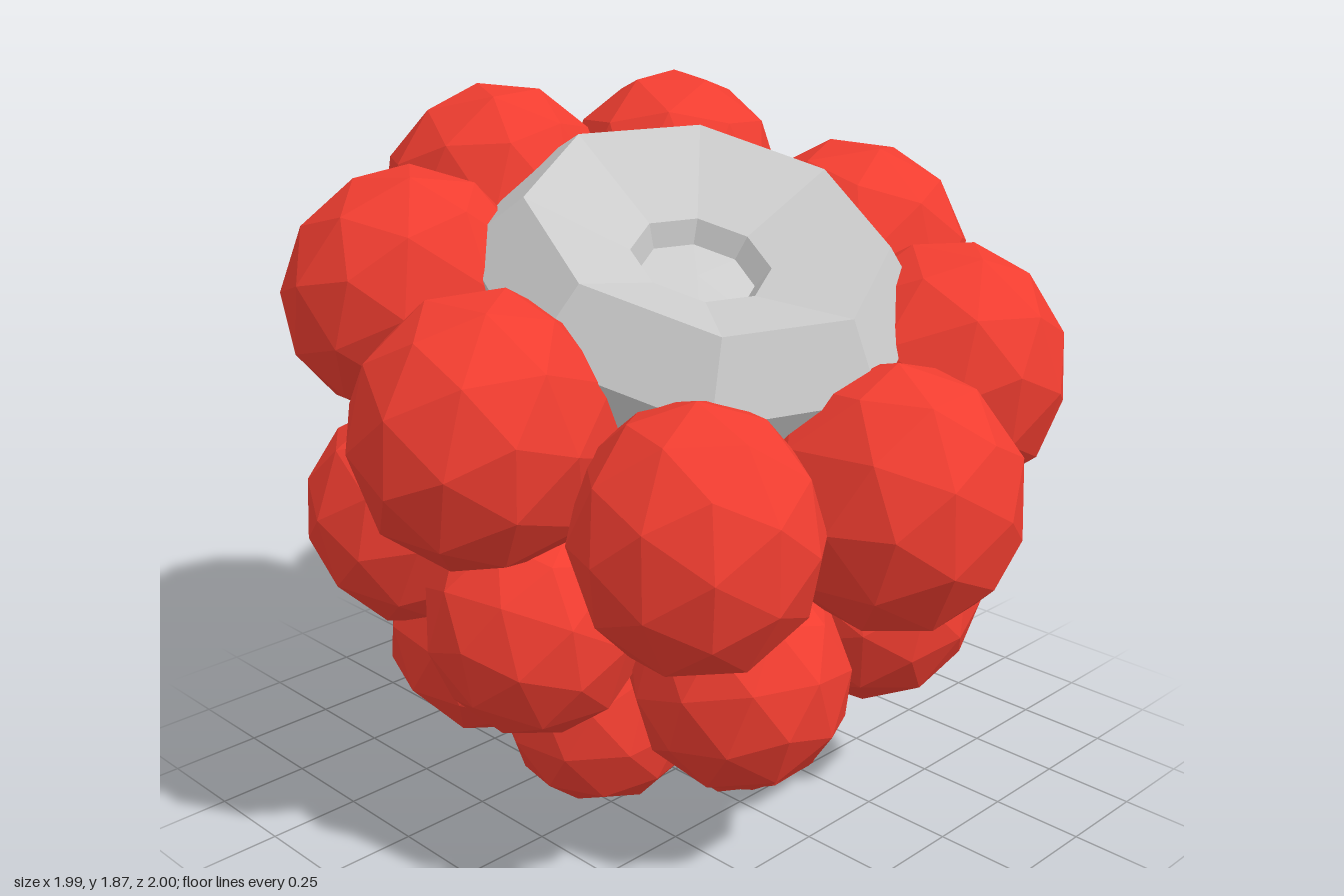
import * as THREE from 'three';

// Drupelets row by row: stretch along the berry, then x, y, z, radius of each
const ROWS = {
  topDrupelet: { stretch: 1.09, balls: [
    [0.07, 0.99, 0.69, 0.31], [0.5, 1.19, 0.5, 0.31], [0.67, 1.37, 0.04, 0.32], [0.44, 1.55, -0.45, 0.31],
    [-0.09, 1.56, -0.61, 0.3], [-0.53, 1.41, -0.44, 0.3], [-0.69, 1.19, 0.04, 0.31], [-0.46, 0.99, 0.53, 0.3],
  ] },
  middleDrupelet: { stretch: 1.05, balls: [
    [-0.17, 0.99, -0.71, 0.3], [0.32, 1.08, -0.69, 0.29], [0.64, 0.98, -0.3, 0.31], [0.64, 0.79, 0.15, 0.29],
    [0.32, 0.58, 0.43, 0.28], [-0.2, 0.51, 0.43, 0.28], [-0.55, 0.66, 0.06, 0.28], [-0.53, 0.81, -0.44, 0.29],
  ] },
  lowerDrupelet: { stretch: 1, balls: [
    [0.33, 0.7, -0.63, 0.28], [0.56, 0.49, -0.25, 0.28], [-0.09, 0.65, -0.65, 0.28], [-0.37, 0.46, -0.33, 0.29],
    [0.15, 0.32, -0.42, 0.27], [0.09, 0.27, 0.16, 0.28], [-0.27, 0.31, -0.01, 0.27], [0.4, 0.33, 0.06, 0.27],
  ] },
};

// Faceted ball whose inner half reaches deeper into the berry
function drupeletGeometry() {
  const geometry = new THREE.IcosahedronGeometry(1, 1);
  const p = geometry.attributes.position;
  for (let i = 0; i < p.count; i++) if (p.getZ(i) < 0) p.setZ(i, p.getZ(i) * 1.5);
  geometry.computeVertexNormals();
  return geometry;
}

export function createModel() {
  const berry = new THREE.Group();
  berry.name = 'berry';
  const red = new THREE.MeshStandardMaterial({ color: 0xf03d30, flatShading: true });
  const grey = new THREE.MeshStandardMaterial({ color: 0xcccccc, flatShading: true, side: THREE.DoubleSide });

  // Drupelets, each turned to face outward
  const geometry = drupeletGeometry();
  const middle = new THREE.Vector3(0, 0.95, -0.05);
  for (const [name, { stretch, balls }] of Object.entries(ROWS)) {
    balls.forEach(([x, y, z, r], i) => {
      const mesh = new THREE.Mesh(geometry, red);
      mesh.name = name + (i + 1);
      mesh.position.set(x, y, z);
      mesh.scale.set(r, r * stretch, r);
      mesh.lookAt(mesh.position.clone().multiplyScalar(2).sub(middle));
      berry.add(mesh);
    });
  }

  // Eight-sided core with a shallow dish and a small pit, its axis leaning forward
  const profile = [
    [0, -1.1], [0.25, -0.98], [0.42, -0.7], [0.56, -0.36], [0.59, -0.16],
    [0.46, 0], [0.18, -0.11], [0.15, -0.17], [0, -0.16],
  ].map(([r, y]) => new THREE.Vector2(r, y));
  const core = new THREE.Mesh(new THREE.LatheGeometry(profile, 8).rotateY(0.08), grey);
  core.name = 'core';
  core.position.set(-0.04, 1.6, 0.16);
  core.quaternion.setFromUnitVectors(
    new THREE.Vector3(0, 1, 0), new THREE.Vector3(-0.13, 1, 0.42).normalize());
  berry.add(core);

  return berry;
}
